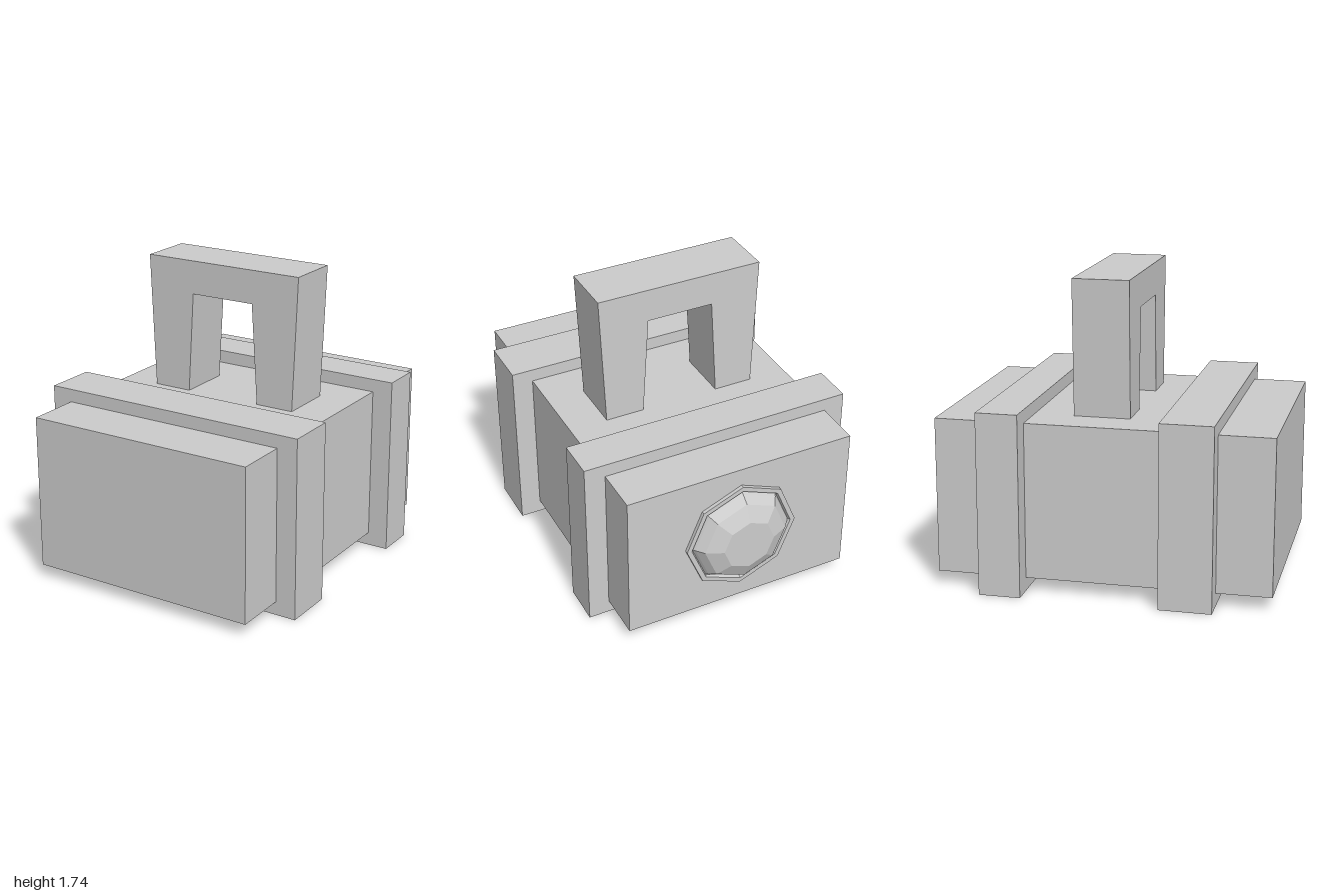
import * as THREE from 'three';

const material = new THREE.MeshStandardMaterial({ color: 0xcccccc, flatShading: true });

function addMesh(group, name, geometry) {
  const mesh = new THREE.Mesh(geometry, material);
  mesh.name = name;
  group.add(mesh);
  return mesh;
}

// Box centred on x, given its half width and its y and z limits
function addBox(group, name, halfWidth, y0, y1, z0, z1) {
  const mesh = addMesh(group, name, new THREE.BoxGeometry(halfWidth * 2, y1 - y0, z1 - z0));
  mesh.position.set(0, (y0 + y1) / 2, (z0 + z1) / 2);
}

// Octagonal turned part whose profile [radius, depth] points towards the back
function addOctagon(group, name, profile) {
  const points = profile.map(([r, d]) => new THREE.Vector2(r, d));
  const geometry = new THREE.LatheGeometry(points, 8).rotateX(-Math.PI / 2);
  addMesh(group, name, geometry).position.set(0, 0.523, -0.89);
}

export function createModel() {
  const model = new THREE.Group();
  model.name = 'hammerHead';

  // Main block and the two raised bands around it
  addBox(model, 'body', 0.68, 0.077, 0.965, -0.89, 1);
  addBox(model, 'frontBand', 0.8, 0, 1.04, 0.393, 0.69);
  addBox(model, 'backBand', 0.8, 0, 1.04, -0.617, -0.38);

  // Upright bracket with legs that taper towards the body
  const half = [[0.457, 0.955], [0.49, 1.737]];
  const inner = [[0.195, 1.545], [0.23, 0.955]];
  const mirror = (points) => points.map(([x, y]) => [-x, y]).reverse();
  const outline = [...half, ...mirror(half), ...mirror(inner), ...inner];
  const shape = new THREE.Shape(outline.map(([x, y]) => new THREE.Vector2(x, y)));
  const bracket = new THREE.ExtrudeGeometry(shape, { depth: 0.32, bevelEnabled: false });
  addMesh(model, 'bracket', bracket).position.z = -0.155;

  // Faceted gem set in a thin octagonal rim on the back
  addOctagon(model, 'gemRim', [[0.337, 0], [0.337, 0.021], [0.308, 0.021], [0.3, 0.005]]);
  addOctagon(model, 'gem', [[0.3, 0], [0.287, 0.021], [0.25, 0.066], [0.154, 0.11], [0, 0.11]]);

  return model;
}
